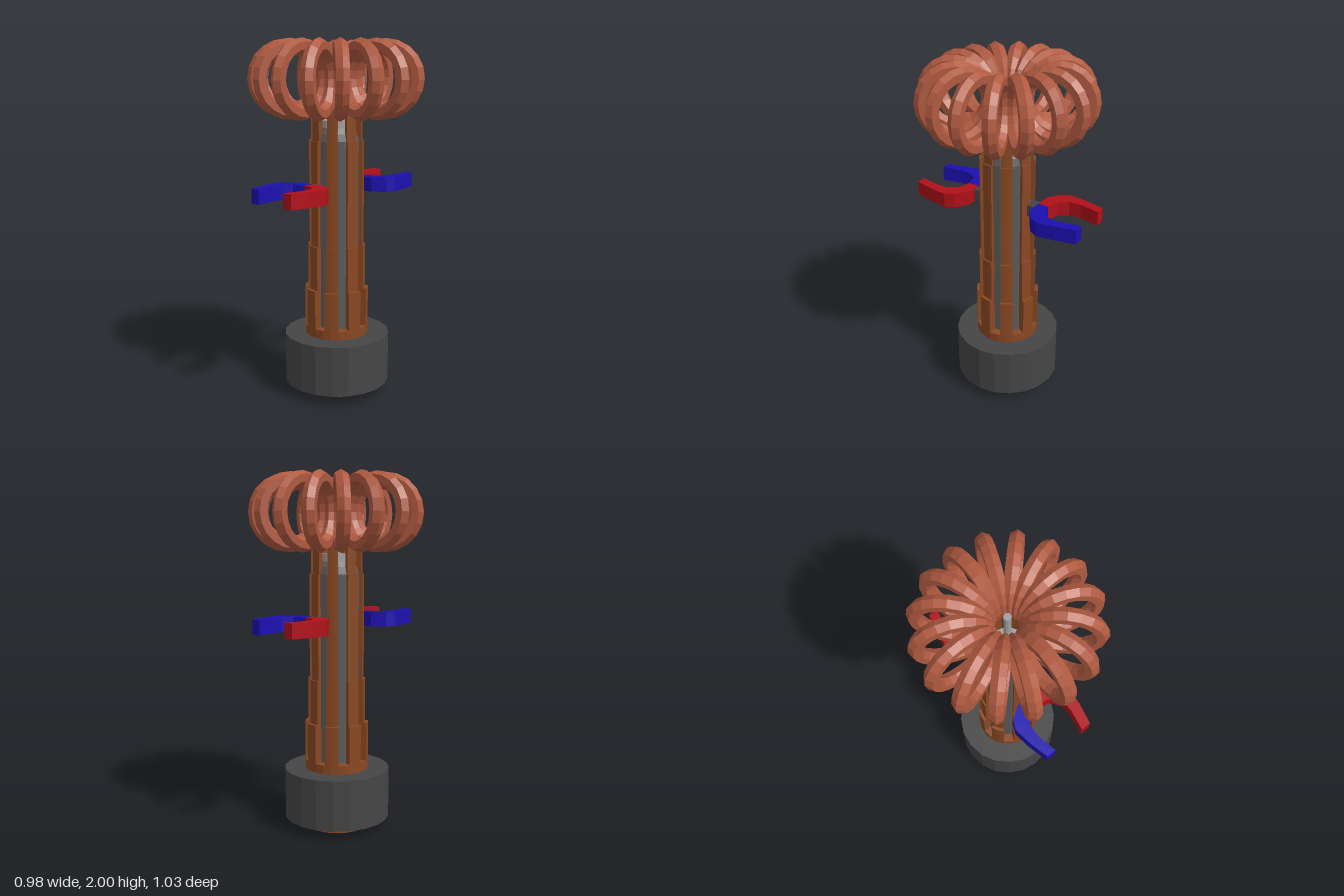
import * as THREE from 'three';

const material = (color) => new THREE.MeshStandardMaterial({ color, flatShading: true });
const wood = material(0x8a4822);
const copper = material(0xb05a40);
const iron = material(0x454545);
const steel = material(0x5a5a5a);
const paleSteel = material(0xa0a0a0);
const red = material(0xb01018);
const blue = material(0x1c10b0);

function add(parent, name, geometry, mat, x = 0, y = 0, z = 0) {
  const mesh = new THREE.Mesh(geometry, mat);
  mesh.name = name;
  mesh.position.set(x, y, z);
  parent.add(mesh);
  return mesh;
}

// Upright cylinder between two heights
function post(parent, name, radius, y0, y1, sides, mat) {
  return add(parent, name, new THREE.CylinderGeometry(radius, radius, y1 - y0, sides), mat, 0, (y0 + y1) / 2, 0);
}

// Extrude a ground-plan shape upwards
function upright(shape, height) {
  const geometry = new THREE.ExtrudeGeometry(shape, { depth: height, bevelEnabled: false, curveSegments: 3 });
  return geometry.rotateX(-Math.PI / 2);
}

// Ring sector centred on +z, with the given half angle
function sector(inner, outer, half) {
  const shape = new THREE.Shape();
  const mid = -Math.PI / 2;
  shape.absarc(0, 0, outer, mid - half, mid + half, false);
  shape.absarc(0, 0, inner, mid + half, mid - half, true);
  shape.closePath();
  return shape;
}

// One horseshoe arm, as [x, z] corners for the +x side
const armPlan = [
  [0, 0.2], [0.09, 0.2], [0.16, 0.25], [0.185, 0.3], [0.172, 0.4], [0.145, 0.515],
  [0.09, 0.515], [0.113, 0.4], [0.11, 0.33], [0.07, 0.28], [0, 0.262],
];

function createClamp() {
  const clamp = new THREE.Group();
  clamp.name = 'magnetClamp';
  add(clamp, 'clampStem', new THREE.BoxGeometry(0.07, 0.065, 0.1), iron, 0, 1.183, 0.16);
  for (const side of [1, -1]) {
    const shape = new THREE.Shape(armPlan.map(([x, z]) => new THREE.Vector2(side * x, -z)));
    add(clamp, side > 0 ? 'redArm' : 'blueArm', upright(shape, 0.082), side > 0 ? red : blue, 0, 1.142, 0);
  }
  return clamp;
}

export function createModel() {
  const model = new THREE.Group();
  model.name = 'coilTower';

  // Foot and collar
  post(model, 'foot', 0.18, 0, 0.39, 24, wood);
  post(model, 'collar', 0.3, 0.055, 0.34, 20, iron);

  // Inner core with a chamfered shoulder
  const coreProfile = [[0, 0.38], [0.132, 0.38], [0.132, 1.45], [0.12, 1.49], [0.1, 1.52], [0, 1.52]];
  add(model, 'core', new THREE.LatheGeometry(coreProfile.map(([r, y]) => new THREE.Vector2(r, y)), 24), steel);
  post(model, 'coreCap', 0.09, 1.51, 1.56, 16, paleSteel);
  post(model, 'centrePin', 0.02, 1.55, 1.88, 12, paleSteel);

  // Eight stepped staves around the core: bottom, top, outer radius, half angle
  const steps = [
    [0.38, 0.61, 0.18, 12.5],
    [0.61, 0.86, 0.162, 12.5],
    [0.86, 1.45, 0.153, 12],
    [1.45, 1.63, 0.143, 12],
  ];
  for (let i = 0; i < 8; i++) {
    const stave = new THREE.Group();
    stave.name = 'stave';
    for (const [y0, y1, outer, half] of steps) {
      const shape = sector(0.115, outer, THREE.MathUtils.degToRad(half));
      add(stave, 'staveStep', upright(shape, y1 - y0), wood, 0, y0, 0);
    }
    stave.rotation.y = THREE.MathUtils.degToRad(31.5 + 45 * i);
    model.add(stave);
  }

  // Crown of sixteen upright hexagonal-section rings
  const ringGeometry = new THREE.TorusGeometry(0.175, 0.04, 6, 20);
  const crown = new THREE.Group();
  crown.name = 'ringCrown';
  for (let i = 0; i < 16; i++) {
    const arm = new THREE.Group();
    arm.name = 'crownRing';
    add(arm, 'ring', ringGeometry, copper, 0.273, 1.785, 0);
    arm.rotation.y = (i * Math.PI) / 8;
    crown.add(arm);
  }
  model.add(crown);

  // Front and back clamps
  const front = createClamp();
  const back = createClamp();
  back.rotation.y = Math.PI;
  model.add(front, back);

  return model;
}
